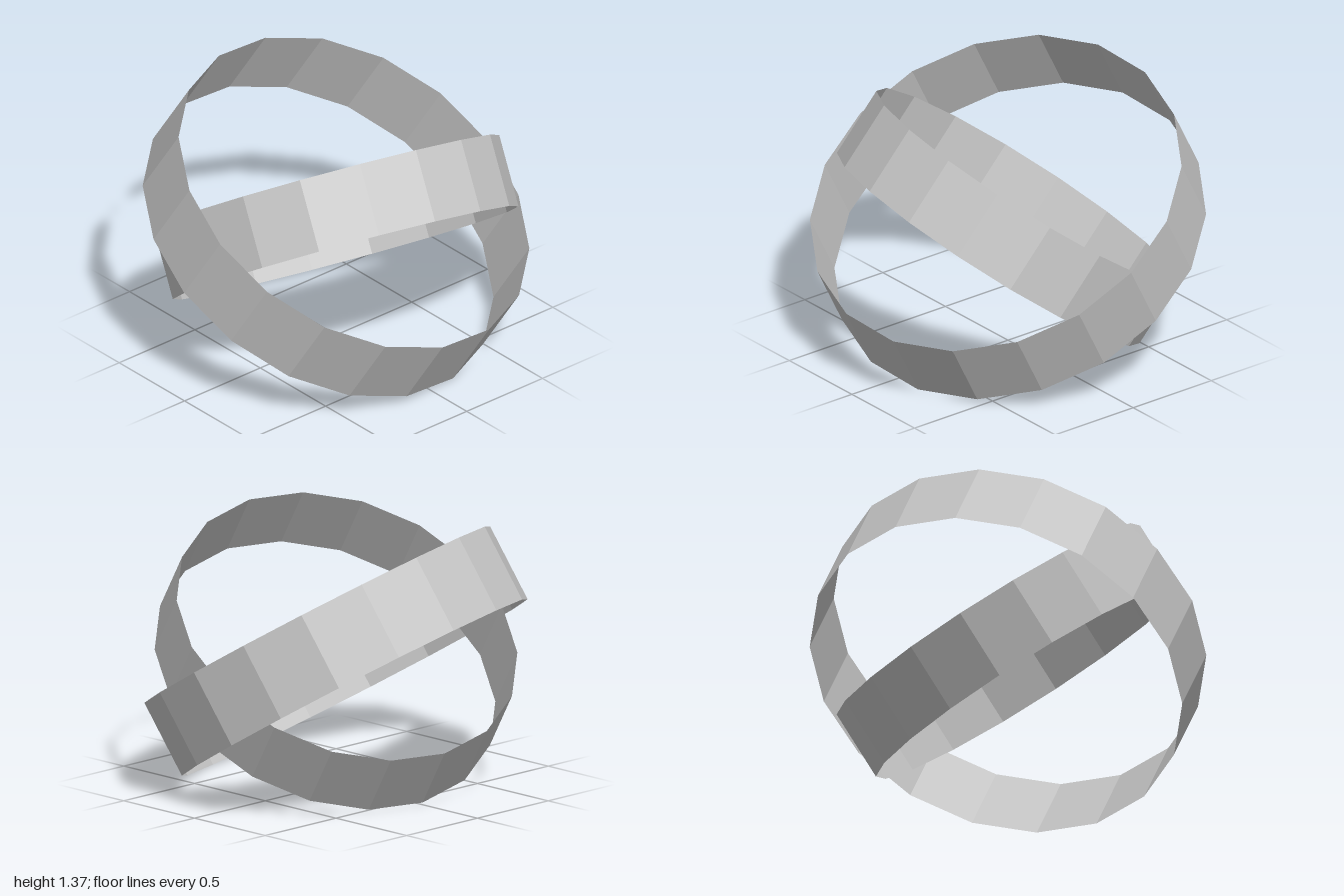
import * as THREE from 'three';

const rad = THREE.MathUtils.degToRad;
const SIDES = 18;

export function createModel() {
  const model = new THREE.Group();
  const metal = new THREE.MeshStandardMaterial({ color: 0xc4c4c4 });
  metal.name = 'lightGrey';
  metal.flatShading = true;
  metal.side = THREE.DoubleSide;

  // Thin open band; phase places the first facet edge, roll leans it sideways.
  function addBand(name, radius, height, phase, roll) {
    const geometry = new THREE.CylinderGeometry(
      radius, radius, height, SIDES, 1, true, rad(90 - phase));
    const band = new THREE.Mesh(geometry, metal);
    band.name = name;
    // Both bands are lifted slightly at the front.
    band.rotation.set(rad(-8.4), 0, rad(roll), 'ZYX');
    band.position.y = 0.675;
    model.add(band);
  }

  addBand('outerRing', 0.975, 0.41, 8.5, -30.4);
  addBand('innerRing', 0.895, 0.37, 2.5, 35);
  return model;
}
